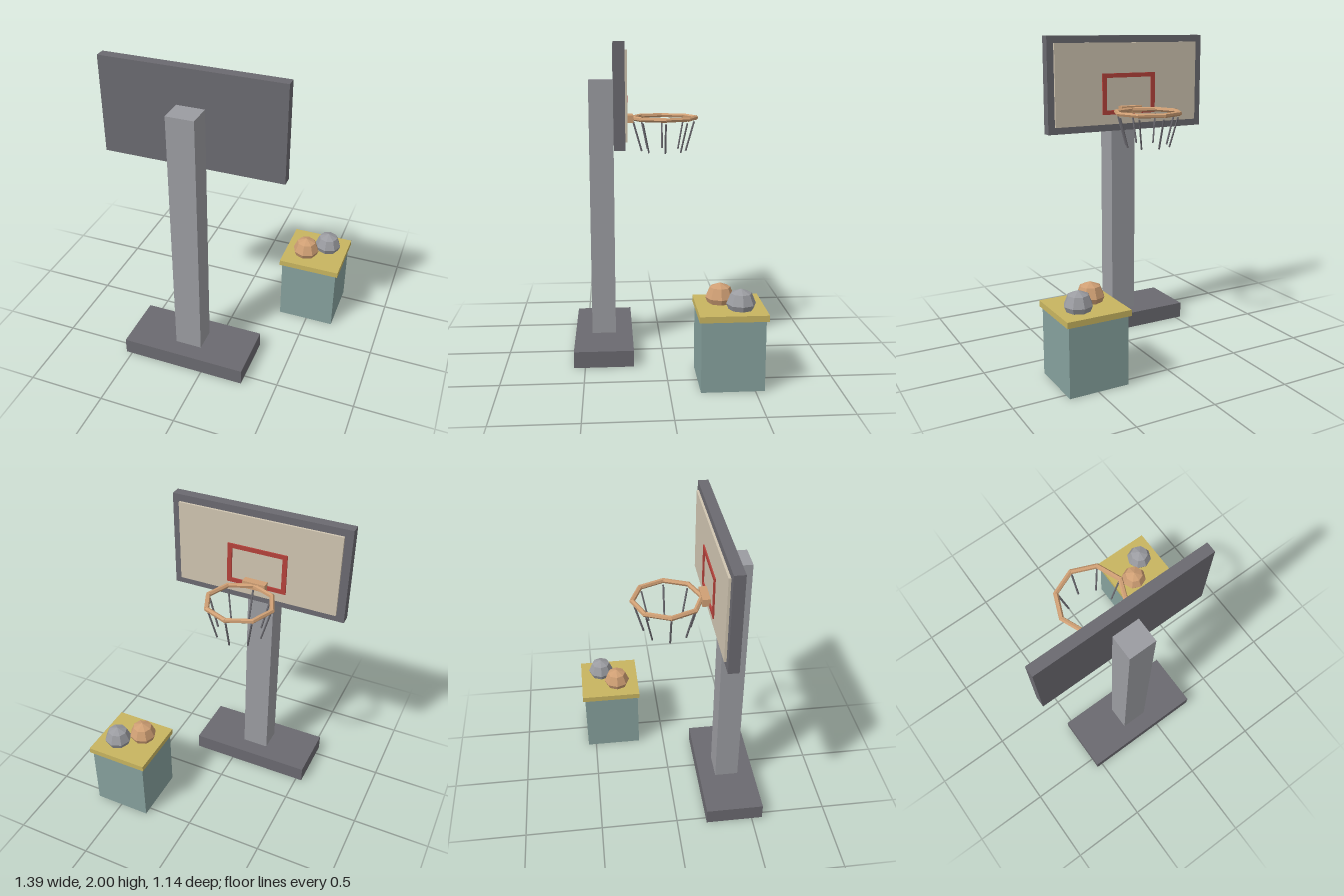
import * as THREE from 'three';

const material = (name, color) => {
  const m = new THREE.MeshStandardMaterial({ color, flatShading: true });
  m.name = name;
  return m;
};

export function createModel() {
  const model = new THREE.Group();
  model.name = 'basketballHoop';

  const darkGrey = material('darkGrey', 0x6b6a70);
  const grey = material('grey', 0x9b9ca1);
  const cream = material('cream', 0xcfc4b0);
  const red = material('red', 0xb5423b);
  const orange = material('orange', 0xcf9f74);
  const teal = material('teal', 0x86a19d);
  const yellow = material('yellow', 0xc8b560);

  const add = (name, geometry, mat, parent = model) => {
    const mesh = new THREE.Mesh(geometry, mat);
    mesh.name = name;
    parent.add(mesh);
    return mesh;
  };

  // Box given by its extents on each axis
  const box = (name, mat, [x0, x1], [y0, y1], [z0, z1]) => {
    const mesh = add(name, new THREE.BoxGeometry(x1 - x0, y1 - y0, z1 - z0), mat);
    mesh.position.set((x0 + x1) / 2, (y0 + y1) / 2, (z0 + z1) / 2);
    return mesh;
  };

  // Straight bar between two points
  const up = new THREE.Vector3(0, 1, 0);
  const bar = (name, mat, a, b, radius, sides, parent, overlap = 0) => {
    const dir = b.clone().sub(a);
    const geometry = new THREE.CylinderGeometry(radius, radius, dir.length() + overlap, sides);
    const mesh = add(name, geometry, mat, parent);
    mesh.position.copy(a).add(b).multiplyScalar(0.5);
    mesh.quaternion.setFromUnitVectors(up, dir.normalize());
  };

  // Stand and backboard
  box('base', darkGrey, [-0.54, 0.28], [0, 0.105], [0.195, 0.57]);
  box('post', grey, [-0.218, -0.043], [0.105, 1.77], [0.305, 0.46]);
  box('backboard', darkGrey, [-0.7, 0.44], [1.385, 2], [0.24, 0.305]);
  box('backboardPanel', cream, [-0.65, 0.395], [1.43, 1.955], [0.226, 0.24]);

  // Painted target frame
  const target = new THREE.Shape();
  target.moveTo(-0.195, -0.133).lineTo(0.195, -0.133).lineTo(0.195, 0.133).lineTo(-0.195, 0.133).closePath();
  const opening = new THREE.Path();
  opening.moveTo(-0.165, -0.105).lineTo(-0.165, 0.105).lineTo(0.165, 0.105).lineTo(0.165, -0.105).closePath();
  target.holes.push(opening);
  add('targetFrame', new THREE.ExtrudeGeometry(target, { depth: 0.008, bevelEnabled: false }), red)
    .position.set(-0.13, 1.627, 0.218);

  // Bracket, eight-bar rim and hanging net strands
  box('rimBracket', orange, [-0.205, -0.055], [1.5, 1.548], [0.178, 0.226]);
  const rim = new THREE.Group();
  rim.name = 'rim';
  const net = new THREE.Group();
  net.name = 'net';
  for (const g of [rim, net]) {
    g.position.set(-0.13, 0, -0.02);
    model.add(g);
  }
  const ringPoint = (i, radius, y) => {
    const a = (i * Math.PI) / 4;
    return new THREE.Vector3(Math.cos(a) * radius, y, Math.sin(a) * radius);
  };
  for (let i = 0; i < 8; i++) {
    bar('rimBar', orange, ringPoint(i, 0.207, 1.525), ringPoint(i + 1, 0.207, 1.525), 0.015, 6, rim, 0.01);
    bar('netStrand', darkGrey, ringPoint(i, 0.197, 1.5), ringPoint(i, 0.143, 1.31), 0.006, 6, net);
  }

  // Ball crate with lid
  box('crate', teal, [0.305, 0.68], [0, 0.43], [-0.555, -0.18]);
  box('crateLid', yellow, [0.29, 0.695], [0.43, 0.467], [-0.57, -0.168]);

  // Faceted balls sunk into the lid
  const ball = new THREE.SphereGeometry(0.088, 8, 4);
  add('orangeBall', ball, orange).position.set(0.432, 0.5, -0.318);
  add('greyBall', ball, grey).position.set(0.56, 0.5, -0.425);

  return model;
}
